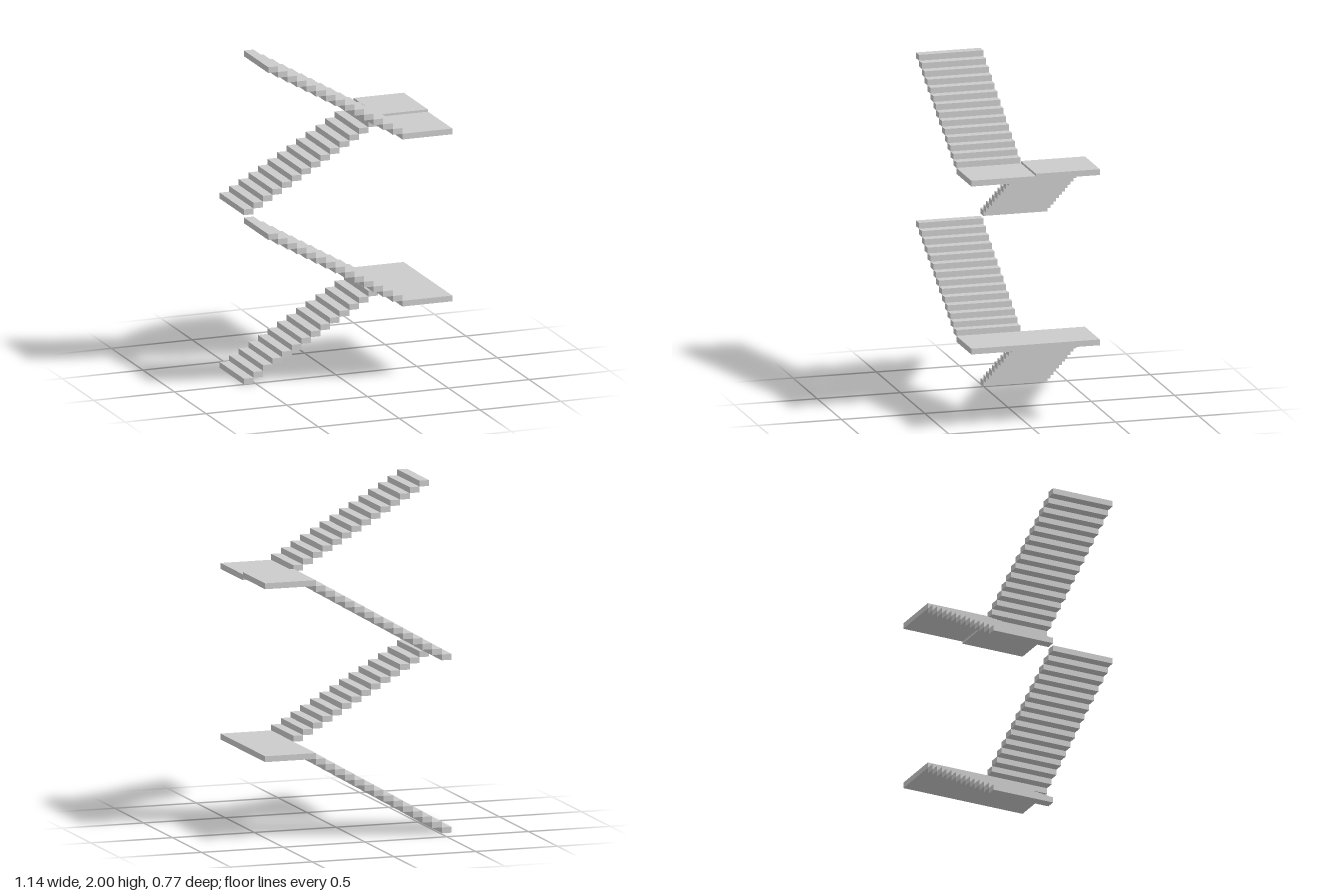
import * as THREE from 'three';

const RISER = 1 / 29;          // height of every step and landing
const STEPS = 14;              // steps per flight
const X0 = -0.57, X1 = 0.26, X2 = 0.57; // flight start, flight end, landing end
const RUN = (X1 - X0) / STEPS;
const DEPTH = 0.386;           // width of one flight

export function createModel() {
  const model = new THREE.Group();
  model.name = 'switchbackStaircase';
  const material = new THREE.MeshStandardMaterial({ color: 0xcccccc, flatShading: true });

  // Box given by its minimum and maximum corners
  function slab(name, parent, x0, x1, y0, z0, z1) {
    const mesh = new THREE.Mesh(new THREE.BoxGeometry(x1 - x0, RISER, z1 - z0), material);
    mesh.position.set((x0 + x1) / 2, y0 + RISER / 2, (z0 + z1) / 2);
    mesh.name = name;
    parent.add(mesh);
  }

  // Straight flight rising towards +x (dir 1) or -x (dir -1)
  function flight(name, y, dir, z0, z1) {
    const group = new THREE.Group();
    group.name = name;
    for (let i = 0; i < STEPS; i++) {
      const x = dir > 0 ? X0 + i * RUN : X1 - (i + 1) * RUN;
      slab('step', group, x, x + RUN, y + i * RISER, z0, z1);
    }
    model.add(group);
  }

  const rise = STEPS * RISER;
  const upperBase = 1.0135; // the upper back flight starts slightly above the lower storey

  // Lower storey: two flights joined by one full-width landing
  flight('lowerBackFlight', 0, 1, -DEPTH, 0);
  slab('lowerLanding', model, X1, X2, rise, -DEPTH, DEPTH);
  flight('lowerFrontFlight', rise + RISER, -1, 0, DEPTH);

  // Upper storey: landing split into two slabs at slightly different heights
  flight('upperBackFlight', upperBase, 1, -DEPTH, 0);
  slab('upperBackLanding', model, X1, X2, upperBase + rise, -DEPTH, -0.002);
  slab('upperFrontLanding', model, X1, X2, 1 + rise, -0.002, DEPTH);
  flight('upperFrontFlight', 1 + rise + RISER, -1, 0, DEPTH);

  return model;
}
